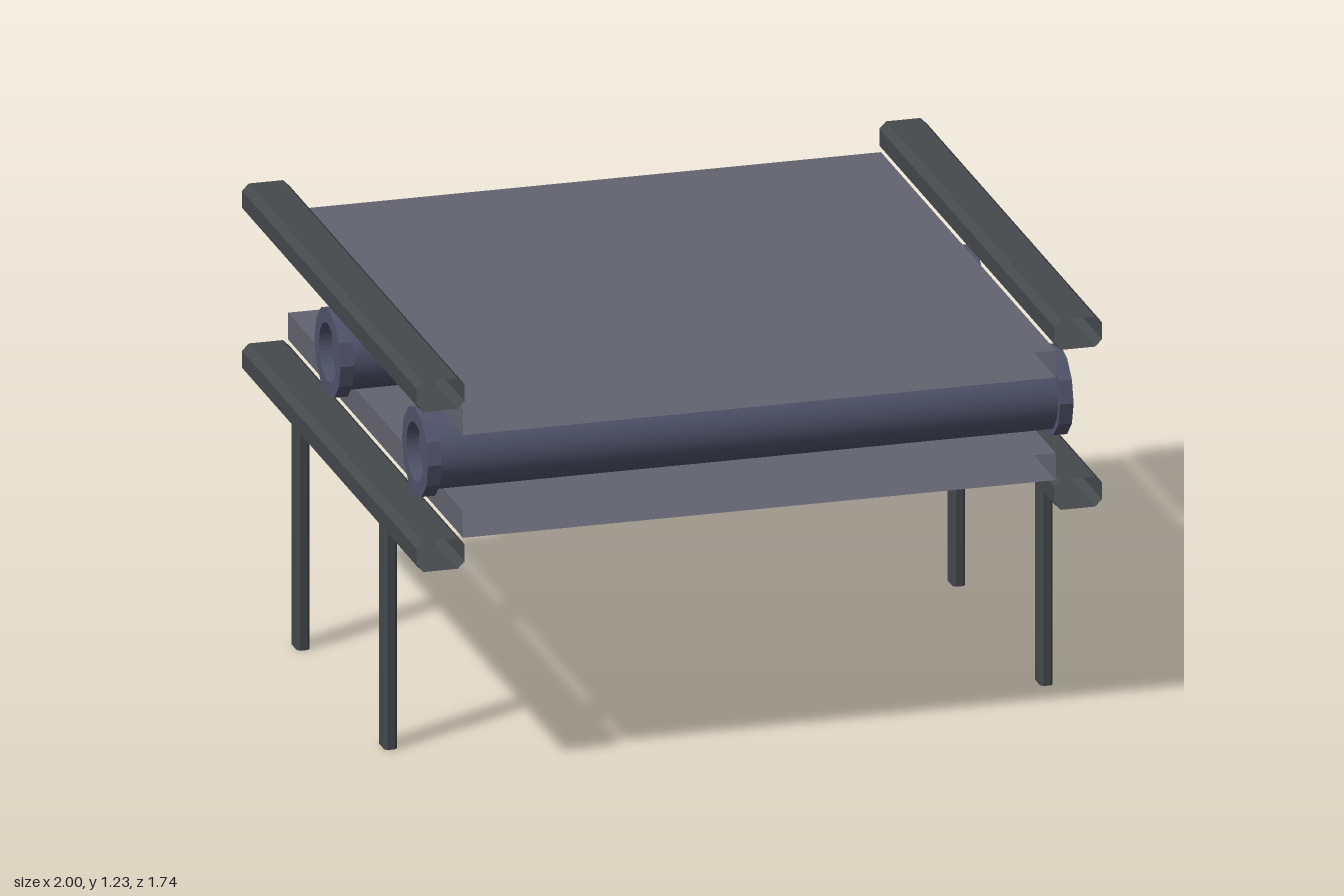
import * as THREE from 'three';

const steel = new THREE.MeshStandardMaterial({ color: 0x45494c, flatShading: true, side: THREE.DoubleSide });
const panel = new THREE.MeshStandardMaterial({ color: 0x62636f, flatShading: true, side: THREE.DoubleSide });
const flange = new THREE.MeshStandardMaterial({ color: 0x50526a, flatShading: true, side: THREE.DoubleSide });
const drum = new THREE.MeshStandardMaterial({ color: 0x50526a, side: THREE.DoubleSide });

// Open-ended hollow section of width w and height h, running along z; c chamfers the corners
function openSection(w, h, length, c = 0) {
  const a = w / 2, b = h / 2;
  const profile = c
    ? [[a, -b + c], [a, b - c], [a - c, b], [-a + c, b], [-a, b - c], [-a, -b + c], [-a + c, -b], [a - c, -b]]
    : [[a, -b], [a, b], [-a, b], [-a, -b]];
  const points = [];
  profile.forEach((p, i) => {
    const q = profile[(i + 1) % profile.length];
    const l = length / 2;
    points.push(...p, -l, ...q, -l, ...q, l, ...p, -l, ...q, l, ...p, l);
  });
  const geometry = new THREE.BufferGeometry();
  geometry.setAttribute('position', new THREE.Float32BufferAttribute(points, 3));
  geometry.computeVertexNormals();
  return geometry;
}

function add(parent, name, geometry, material, x, y, z) {
  const mesh = new THREE.Mesh(geometry, material);
  mesh.name = name;
  mesh.position.set(x, y, z);
  parent.add(mesh);
  return mesh;
}

// Twelve-sided ring with a round hole, its thickness along x
function flangeGeometry(radius, hole, thickness) {
  const outline = [];
  for (let i = 0; i < 12; i++) {
    const t = (i / 12) * Math.PI * 2;
    outline.push(new THREE.Vector2(Math.cos(t) * radius, Math.sin(t) * radius));
  }
  const shape = new THREE.Shape(outline);
  shape.holes.push(new THREE.Path().absarc(0, 0, hole, 0, Math.PI * 2, true));
  return new THREE.ExtrudeGeometry(shape, { depth: thickness, bevelEnabled: false, curveSegments: 24 })
    .translate(0, 0, -thickness / 2)
    .rotateY(Math.PI / 2);
}

export function createModel() {
  const model = new THREE.Group();
  model.name = 'rollerTable';
  const length = 1.74;

  // Upper and lower panels
  const panelGeometry = openSection(1.73, 0.08, length);
  add(model, 'upperPanel', panelGeometry, panel, 0, 1.1, 0);
  add(model, 'lowerPanel', panelGeometry, panel, 0, 0.795, 0);

  // Side rails and legs
  const railGeometry = openSection(0.14, 0.09, length, 0.02);
  const legGeometry = openSection(0.037, 0.067, 0.705, 0.008).rotateX(-Math.PI / 2);
  for (const side of [-1, 1]) {
    const label = side > 0 ? 'left' : 'right';
    add(model, label + 'UpperRail', railGeometry, steel, side * 0.93, 1.185, 0);
    add(model, label + 'LowerRail', railGeometry, steel, side * 0.93, 0.71, 0);
    for (const z of [0.437, -0.434]) {
      add(model, label + (z > 0 ? 'FrontLeg' : 'BackLeg'), legGeometry, steel, side * 0.957, 0.3525, z);
    }
  }

  // Rollers with recessed ends
  const drumGeometry = new THREE.CylinderGeometry(0.11, 0.11, 1.81, 32).rotateZ(Math.PI / 2);
  const ringGeometry = flangeGeometry(0.13, 0.085, 0.04);
  for (const z of [0.655, -0.215]) {
    const roller = new THREE.Group();
    roller.name = z > 0 ? 'frontRoller' : 'backRoller';
    roller.position.set(0, 0.946, z);
    add(roller, 'drum', drumGeometry, drum, 0, 0, 0);
    for (const side of [-1, 1]) {
      add(roller, side > 0 ? 'leftFlange' : 'rightFlange', ringGeometry, flange, side * 0.922, 0, 0);
    }
    model.add(roller);
  }
  return model;
}
